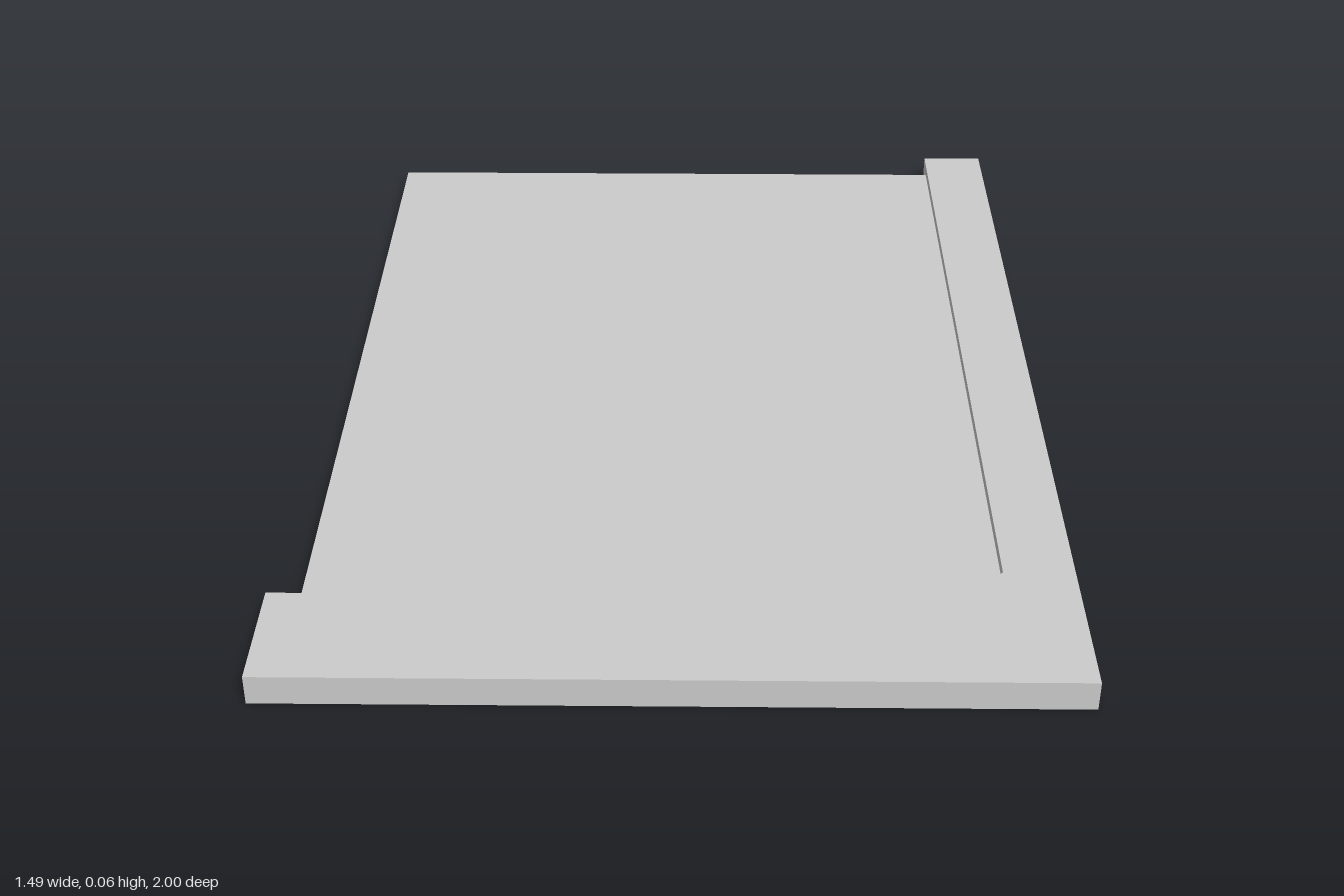
import * as THREE from 'three';

// Horizontal slab: outline points are [x, z], extruded upward from y0
function slab(name, points, y0, height, material) {
  const shape = new THREE.Shape(points.map(([x, z]) => new THREE.Vector2(x, -z)));
  const geometry = new THREE.ExtrudeGeometry(shape, { depth: height, bevelEnabled: false });
  geometry.rotateX(-Math.PI / 2);
  geometry.translate(0, y0, 0);
  const mesh = new THREE.Mesh(geometry, material);
  mesh.name = name;
  return mesh;
}

export function createModel() {
  const group = new THREE.Group();
  group.name = 'panelWithCornerFrame';
  const material = new THREE.MeshStandardMaterial({ color: 0xcccccc, flatShading: true });

  // L-shaped border with a chamfered inner corner
  group.add(slab('cornerFrame', [
    [-0.745, 1], [0.745, 1], [0.745, -1], [0.61, -1],
    [0.61, 0.69], [0.535, 0.765], [-0.745, 0.765],
  ], 0, 0.06, material));

  // Thin panel held at mid-height, its edges let into the frame
  group.add(slab('panel', [
    [-0.685, 0.78], [0.625, 0.78], [0.625, -0.95], [-0.685, -0.95],
  ], 0.029, 0.01, material));

  return group;
}
